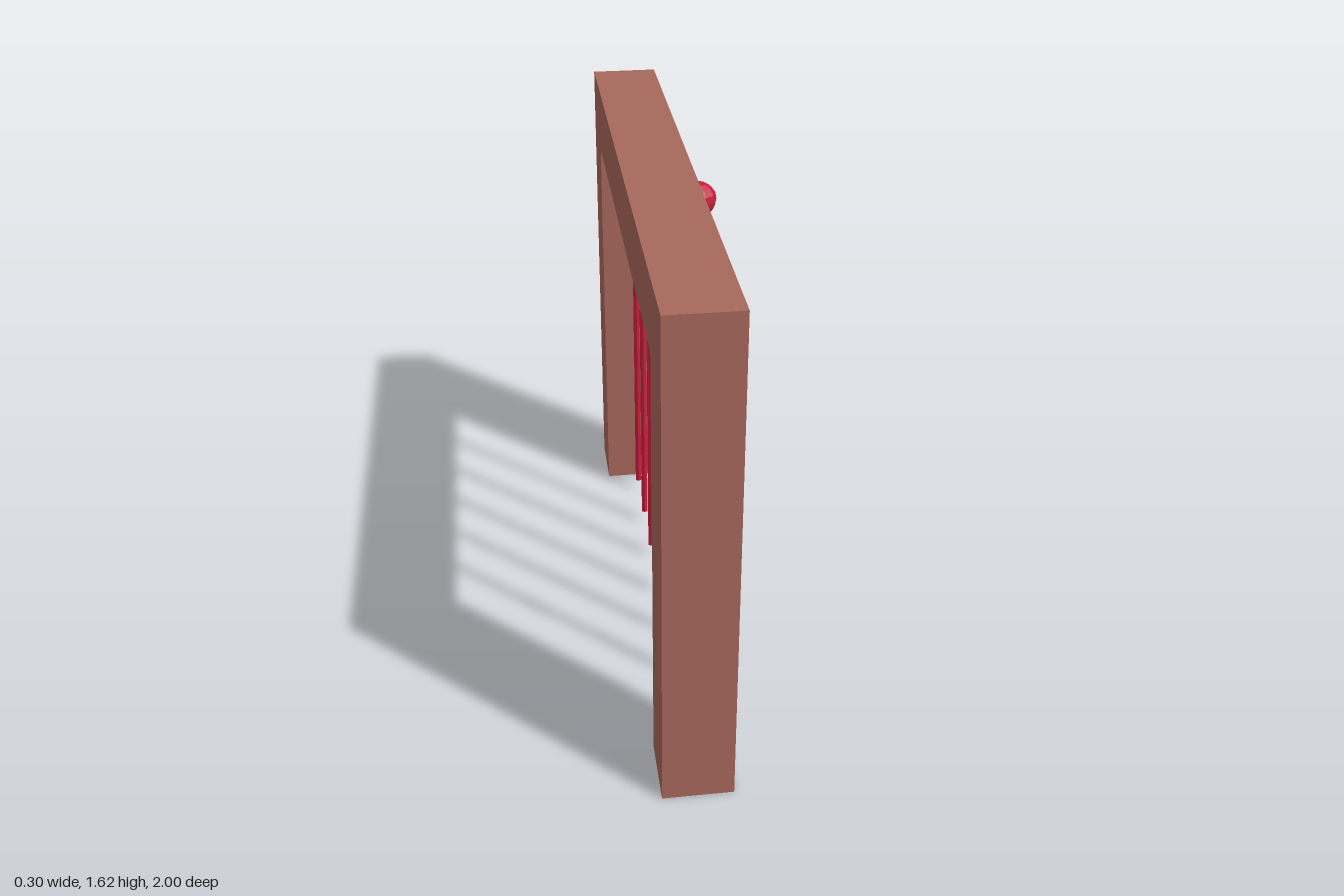
import * as THREE from 'three';

export function createModel() {
  const model = new THREE.Group();
  const make = (name, color) => new THREE.MeshStandardMaterial({ name, color, flatShading: true });
  const clay = make('terracotta', 0xa8695c);
  const slate = make('dark slate', 0x2d3642);
  const red = make('crimson', 0xc41e3a);

  const add = (name, geometry, material, x, y, z) => {
    const mesh = new THREE.Mesh(geometry, material);
    mesh.name = name;
    mesh.position.set(x, y, z);
    model.add(mesh);
    return mesh;
  };

  // Portal frame: two posts and a lintel in one outline, extruded along x
  const outline = new THREE.Shape([
    [-1, 0], [-0.78, 0], [-0.78, 1.405], [0.78, 1.405],
    [0.78, 0], [1, 0], [1, 1.625], [-1, 1.625],
  ].map(([x, y]) => new THREE.Vector2(x, y)));
  const frame = new THREE.ExtrudeGeometry(outline, { depth: 0.22, bevelEnabled: false });
  frame.rotateY(Math.PI / 2);
  add('doorFrame', frame, clay, -0.15, 0, 0);

  // Emitter bar recessed under the lintel
  add('headerBar', new THREE.BoxGeometry(0.14, 0.09, 1.56), slate, -0.04, 1.36, 0);

  // Seven evenly spaced vertical beams
  const beam = new THREE.CylinderGeometry(0.012, 0.012, 1.27, 6);
  for (let i = -3; i <= 3; i++) add('beam', beam, red, -0.04, 0.685, i * 0.2225);

  // Warning lamp on the lintel
  add('warningLamp', new THREE.SphereGeometry(0.055, 10, 8), red, 0.092, 1.515, 0);

  return model;
}
